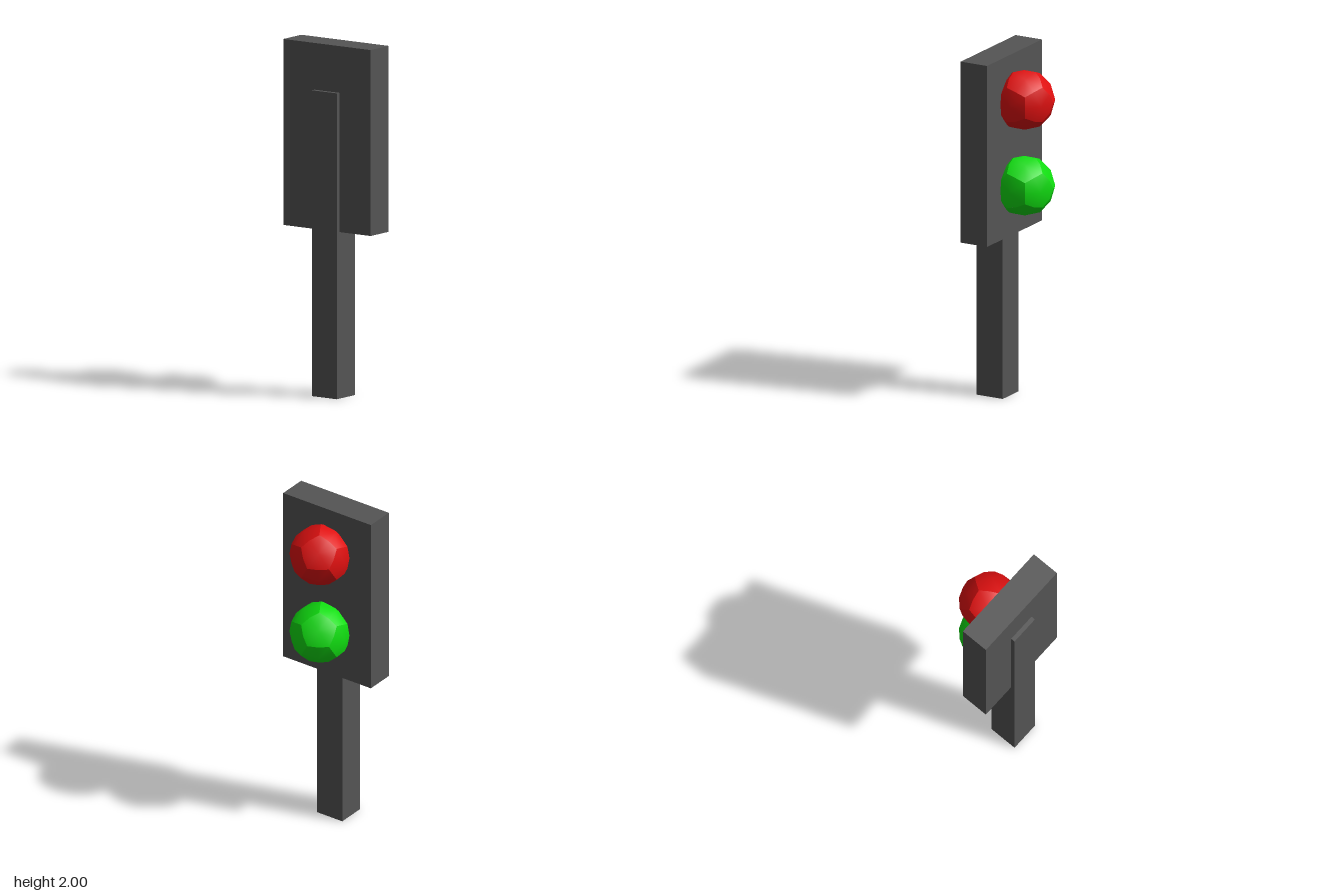
import * as THREE from 'three';
import { mergeGeometries } from 'three/addons/utils/BufferGeometryUtils.js';

const grey = new THREE.MeshStandardMaterial({ color: 0x555555 });
const red = new THREE.MeshStandardMaterial({ color: 0xe01010 });
const green = new THREE.MeshStandardMaterial({ color: 0x10dd10 });

// Box given by its lower and upper limits
function box(name, [x0, y0, z0], [x1, y1, z1]) {
  const mesh = new THREE.Mesh(new THREE.BoxGeometry(x1 - x0, y1 - y0, z1 - z0), grey);
  mesh.position.set((x0 + x1) / 2, (y0 + y1) / 2, (z0 + z1) / 2);
  mesh.name = name;
  return mesh;
}

// One domed pentagon around +z: centre, edge midpoints and corners all on the sphere
function pentagonCap(r) {
  const points = [0, 0, r];
  const index = [];
  for (let i = 0; i < 10; i++) {
    const polar = THREE.MathUtils.degToRad(i % 2 ? 37.377 : 31.717);
    const a = (i * Math.PI) / 5;
    points.push(r * Math.sin(polar) * Math.cos(a), r * Math.sin(polar) * Math.sin(a), r * Math.cos(polar));
    index.push(0, 1 + i, 1 + ((i + 1) % 10));
  }
  const cap = new THREE.BufferGeometry();
  cap.setAttribute('position', new THREE.Float32BufferAttribute(points, 3));
  cap.setIndex(index);
  cap.computeVertexNormals();
  return cap;
}

// Twelve domed pentagons, smooth inside and creased along their borders
function lampGeometry(r) {
  const caps = [pentagonCap(r)];
  for (let k = 0; k < 5; k++) {
    caps.push(pentagonCap(r).rotateZ(Math.PI).rotateY(Math.atan(2)).rotateZ((k * 2 * Math.PI) / 5));
  }
  const half = mergeGeometries(caps);
  return mergeGeometries([half, half.clone().rotateY(Math.PI)]);
}

export function createModel() {
  const group = new THREE.Group();
  group.name = 'trafficLight';

  // Post and signal housing
  group.add(box('post', [-0.215, 0, -0.087], [-0.045, 1.735, 0.087]));
  group.add(box('housing', [-0.19, 0.945, -0.303], [-0.02, 2, 0.303]));

  // Lamps
  const geometry = lampGeometry(0.173);
  for (const [name, y, material] of [['redLamp', 1.735, red], ['greenLamp', 1.235, green]]) {
    const lamp = new THREE.Mesh(geometry, material);
    lamp.name = name;
    lamp.position.set(0.044, y, 0);
    group.add(lamp);
  }
  return group;
}
